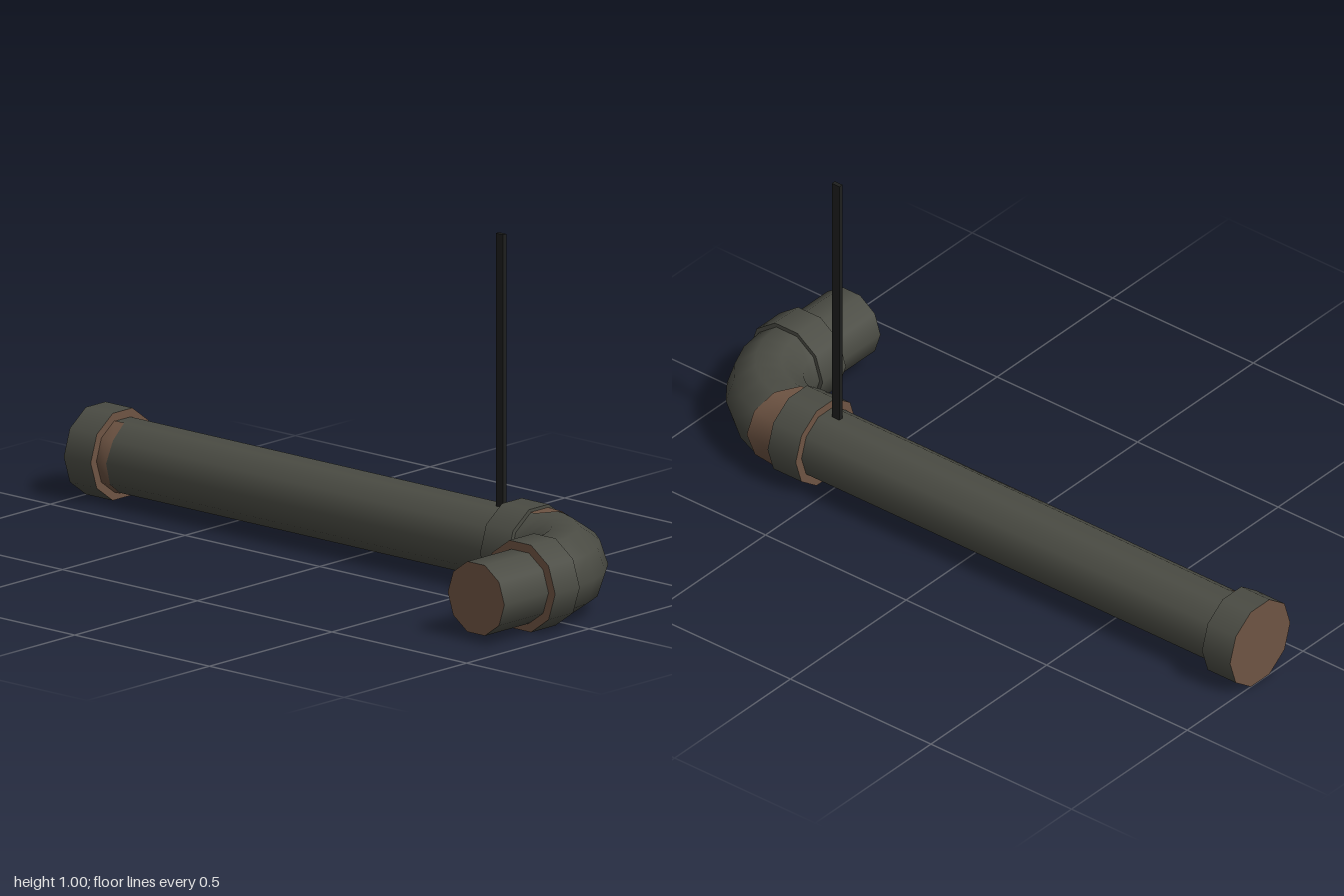
import * as THREE from 'three';

const SIDES = 10, AXIS_Y = 0.125, AXIS_Z = -0.185, AXIS_X = 0.867;
const BEND_X = 0.645, BEND_Z = 0.035, BEND_R = 0.221, ELBOW_R = 0.118;

export function createModel() {
  const group = new THREE.Group();
  const material = (name, color, side = THREE.FrontSide) => {
    const m = new THREE.MeshStandardMaterial({ color, side });
    m.name = name;
    return m;
  };
  const iron = material('dark iron', 0x4b4c44);
  const rust = material('rust', 0x6e5443, THREE.DoubleSide);
  const black = material('black rod', 0x1e1f1e);

  const add = (name, geometry, mat) => {
    const mesh = new THREE.Mesh(geometry, mat);
    mesh.name = name;
    group.add(mesh);
    return mesh;
  };

  // Ten-sided pipe section along x or z, from a to b; ends are [near a, near b]
  const section = (name, axis, r, a, b, ends) => {
    const along = axis === 'x';
    const g = new THREE.CylinderGeometry(r, r, b - a, SIDES, 1, false, along ? 0 : Math.PI / 2);
    if (along) g.rotateZ(-Math.PI / 2).translate((a + b) / 2, AXIS_Y, AXIS_Z);
    else g.rotateX(Math.PI / 2).translate(AXIS_X, AXIS_Y, (a + b) / 2);
    add(name, g, [iron, ends[1], ends[0]]);
  };
  section('endCollar', 'x', 0.13, -1, -0.9, [rust, rust]);
  section('longPipe', 'x', 0.105, -0.91, 0.555, [iron, iron]);
  section('elbowCollarBack', 'x', 0.13, 0.545, 0.645, [rust, iron]);
  section('elbowCollarFront', 'z', 0.13, 0.035, 0.135, [iron, rust]);
  section('outletPipe', 'z', 0.105, 0.125, 0.315, [iron, rust]);

  // Quarter-turn elbow
  const elbow = new THREE.TorusGeometry(BEND_R, ELBOW_R, SIDES, 6, Math.PI / 2);
  elbow.rotateX(-Math.PI / 2).translate(BEND_X, AXIS_Y, BEND_Z);
  add('elbow', elbow, iron);

  // Rust patch: a strip of widths stepped round the pipe, placed by point(angle, reach)
  const patch = (name, widths, point) => {
    const positions = [], index = [];
    widths.forEach((w, i) => {
      const angle = (i - (widths.length - 1) / 2) * Math.PI * 2 / SIDES;
      positions.push(...point(angle, 0), ...point(angle, w));
      if (i) {
        const k = i * 2;
        index.push(k - 2, k - 1, k, k - 1, k + 1, k);
      }
    });
    const g = new THREE.BufferGeometry();
    g.setAttribute('position', new THREE.Float32BufferAttribute(positions, 3));
    g.setIndex(index);
    g.computeVertexNormals();
    add(name, g, rust);
  };
  patch('pipeRust', [0.025, 0.032, 0.036, 0.043, 0.036], (v, w) =>
    [-0.9 + w, AXIS_Y + 0.107 * Math.sin(v), AXIS_Z + 0.107 * Math.cos(v)]);
  patch('elbowRust', [0.1, 0.2, 0.25, 0.27, 0.26, 0.22, 0.1], (v, w) => {
    const r = ELBOW_R + 0.003, reach = BEND_R + r * Math.cos(v);
    return [BEND_X + reach * Math.sin(w), AXIS_Y + r * Math.sin(v), BEND_Z - reach * Math.cos(w)];
  });

  // Thin hanging rod
  add('hangerRod', new THREE.BoxGeometry(0.027, 0.79, 0.013), black).position.set(0.504, 0.605, -0.186);

  return group;
}
